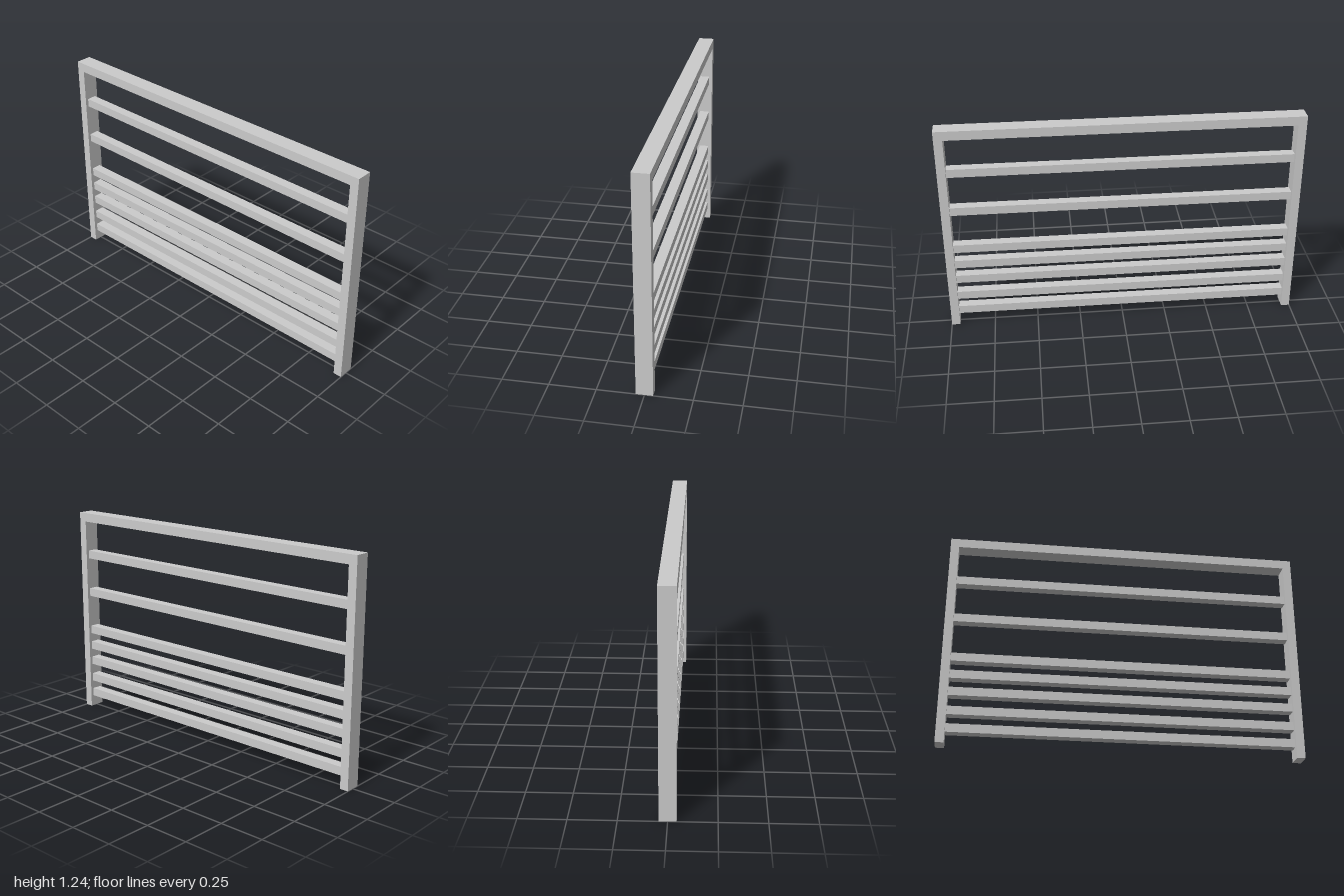
import * as THREE from 'three';

export function createModel() {
  const model = new THREE.Group();
  const material = new THREE.MeshStandardMaterial({ color: 0xcccccc, flatShading: true });
  const height = 1.235, depth = 0.09, bar = 0.048, topBar = 0.052;
  const inner = 1 - bar;

  // Outer frame: two posts joined by the top rail in one outline
  const outline = new THREE.Shape([
    [-1, 0], [-inner, 0], [-inner, height - topBar], [inner, height - topBar],
    [inner, 0], [1, 0], [1, height], [-1, height],
  ].map(([x, y]) => new THREE.Vector2(x, y)));
  const frameGeometry = new THREE.ExtrudeGeometry(outline, { depth, bevelEnabled: false });
  frameGeometry.translate(0, 0, -depth / 2);
  const frame = new THREE.Mesh(frameGeometry, material);
  frame.name = 'frame';
  model.add(frame);

  // Slimmer crossbars, closer together near the bottom
  const barGeometry = new THREE.BoxGeometry(inner * 2, bar, 0.055);
  [0.09, 0.19, 0.3, 0.4, 0.502, 0.742, 0.978].forEach((y, i) => {
    const crossbar = new THREE.Mesh(barGeometry, material);
    crossbar.name = `crossbar${i + 1}`;
    crossbar.position.y = y;
    model.add(crossbar);
  });

  return model;
}
